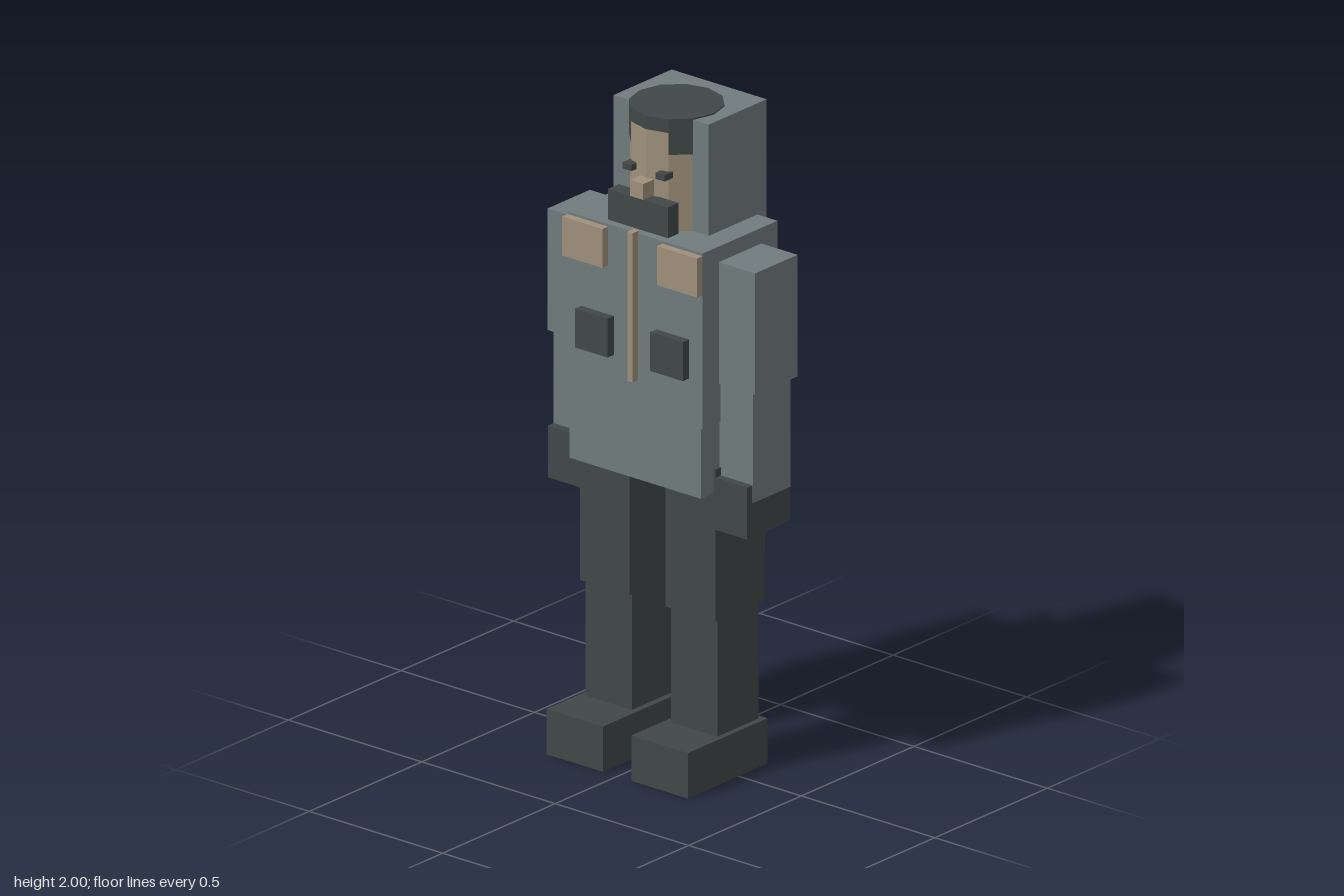
import * as THREE from 'three';

const material = (name, color) => {
  const m = new THREE.MeshStandardMaterial({ color });
  m.name = name;
  return m;
};

export function createModel() {
  const model = new THREE.Group();
  model.name = 'hoodedFigure';

  const grey = material('greyCloth', 0x717b7d);
  const dark = material('charcoal', 0x414747);
  const tan = material('tan', 0x9f907b);

  // Box given by its extents on each axis
  const box = (name, mat, [x0, x1], [y0, y1], [z0, z1]) => {
    const mesh = new THREE.Mesh(new THREE.BoxGeometry(x1 - x0, y1 - y0, z1 - z0), mat);
    mesh.position.set((x0 + x1) / 2, (y0 + y1) / 2, (z0 + z1) / 2);
    mesh.name = name;
    model.add(mesh);
  };
  // The same box on both sides of the body
  const pair = (name, mat, [x0, x1], y, z) => {
    box('left' + name, mat, [x0, x1], y, z);
    box('right' + name, mat, [-x1, -x0], y, z);
  };
  // Twelve-sided upright prism around the head axis
  const prism = (name, mat, r, y0, y1, ...arc) => {
    const geo = new THREE.CylinderGeometry(r, r, y1 - y0, ...arc).toNonIndexed();
    geo.computeVertexNormals();
    const mesh = new THREE.Mesh(geo, mat);
    mesh.position.set(0, (y0 + y1) / 2, -0.04);
    mesh.name = name;
    model.add(mesh);
  };

  // Legs and boots
  pair('Boot', dark, [0.053, 0.265], [0, 0.14], [-0.128, 0.225]);
  pair('Shin', dark, [0.073, 0.247], [0.14, 0.5], [-0.11, 0.073]);
  pair('Thigh', dark, [0.067, 0.254], [0.5, 0.97], [-0.13, 0.09]);

  // Jacket
  box('jacketSkirt', grey, [-0.247, 0.247], [0.895, 1.11], [-0.187, 0.145]);
  box('jacketBody', grey, [-0.253, 0.253], [1.11, 1.653], [-0.187, 0.145]);
  pair('ShoulderPatch', tan, [0.102, 0.253], [1.525, 1.645], [0.14, 0.17]);
  pair('ChestPocket', dark, [0.08, 0.202], [1.255, 1.375], [0.14, 0.173]);
  box('zipper', tan, [-0.01, 0.01], [1.2, 1.66], [0.14, 0.168]);

  // Arms
  pair('UpperArm', grey, [0.24, 0.389], [1.23, 1.605], [-0.115, 0.073]);
  pair('Forearm', grey, [0.248, 0.374], [0.89, 1.23], [-0.101, 0.065]);
  pair('Glove', dark, [0.25, 0.373], [0.785, 0.945], [-0.1, 0.09]);

  // Hood and head
  box('hood', grey, [-0.178, 0.178], [1.59, 1.996], [-0.228, 0.03]);
  prism('head', tan, 0.137, 1.6, 1.97, 12);
  prism('hairCap', dark, 0.139, 1.958, 2, 12);
  // Hair round the sides and back, open over the face
  prism('hairSides', dark, 0.139, 1.89, 1.96, 10, 1, true, Math.PI / 6, Math.PI * 5 / 3);

  // Face
  pair('Eye', dark, [0.045, 0.079], [1.819, 1.838], [0.07, 0.108]);
  box('nose', tan, [-0.025, 0.025], [1.758, 1.807], [0.08, 0.139]);
  box('beard', dark, [-0.112, 0.112], [1.66, 1.755], [0.085, 0.132]);

  return model;
}
